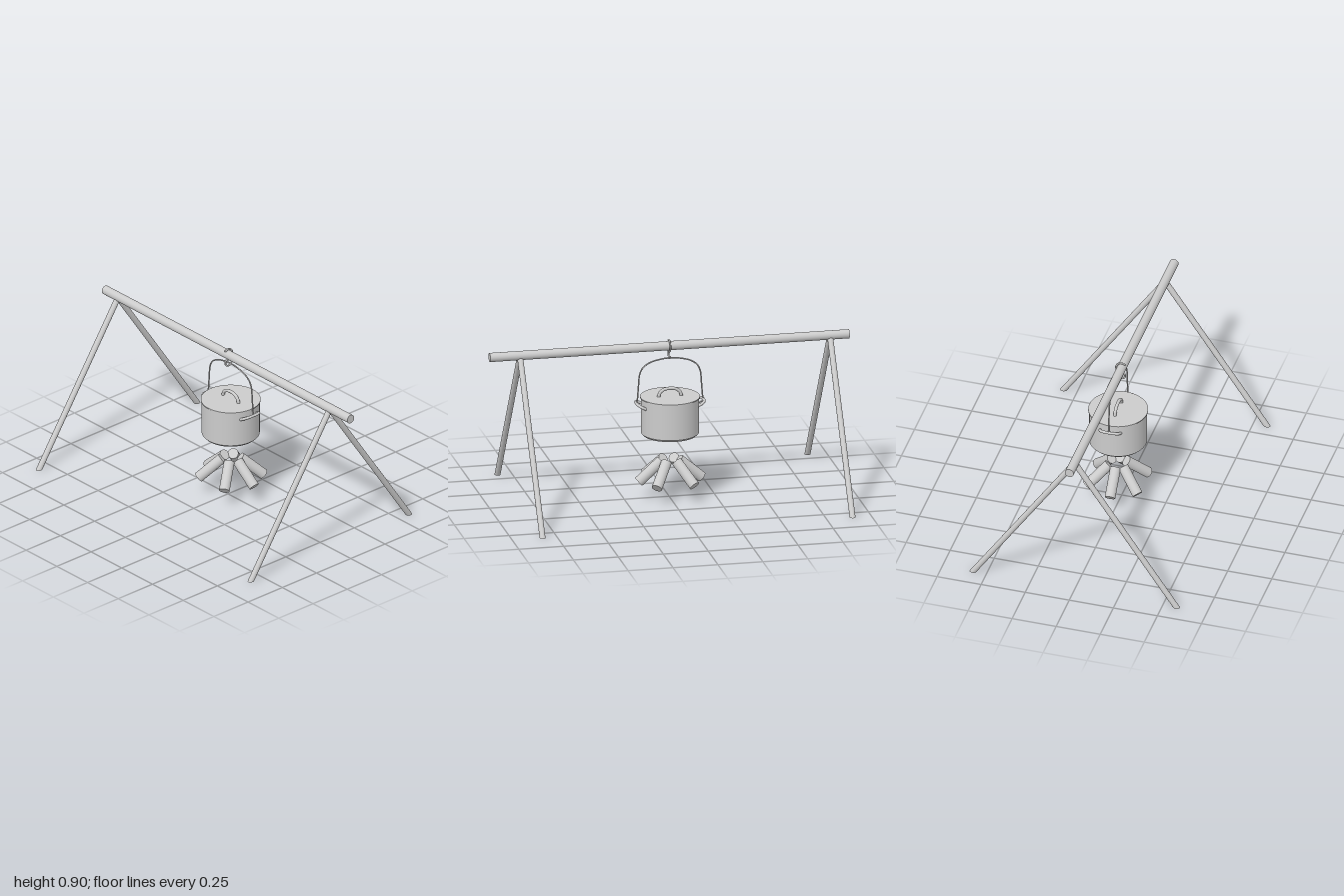
import * as THREE from 'three';

const material = new THREE.MeshStandardMaterial({ color: 0xcccccc, side: THREE.DoubleSide });
const POT_X = 0.02;
const v = (x, y, z) => new THREE.Vector3(x, y, z);

function add(parent, name, geometry) {
  const mesh = new THREE.Mesh(geometry, material);
  mesh.name = name;
  parent.add(mesh);
  return mesh;
}

// Straight round bar between two points
function bar(parent, name, a, b, r) {
  const mesh = add(parent, name, new THREE.CylinderGeometry(r, r, a.distanceTo(b), 32));
  mesh.position.copy(a).add(b).multiplyScalar(0.5);
  mesh.quaternion.setFromUnitVectors(v(0, 1, 0), b.clone().sub(a).normalize());
  return mesh;
}

// Bent round rod through points, with closed ends
function rod(parent, name, points, r, segments = 64) {
  const curve = new THREE.CatmullRomCurve3(points, false, 'centripetal');
  add(parent, name, new THREE.TubeGeometry(curve, segments, r, 12));
  for (const t of [0, 1]) {
    const cap = add(parent, name + 'End', new THREE.SphereGeometry(r, 12, 8));
    cap.position.copy(curve.getPoint(t));
  }
}

// Slanted leg, sheared so that its foot is cut level with the ground
function leg(parent, side, z) {
  const height = 0.855, reach = 0.577, r = 0.016;
  const stretch = Math.hypot(height, reach) / height;
  const geometry = new THREE.CylinderGeometry(r, r, height, 24);
  geometry.applyMatrix4(new THREE.Matrix4().set(
    stretch, -side * reach / height, 0, side * reach / 2,
    0, 1, 0, height / 2,
    0, 0, 1, z,
    0, 0, 0, 1));
  add(parent, side > 0 ? 'leftLeg' : 'rightLeg', geometry);
}

export function createModel() {
  const model = new THREE.Group();
  model.name = 'campfireCookingStand';

  // Frame: ridge pole on two pairs of legs
  const frame = new THREE.Group();
  frame.name = 'frame';
  model.add(frame);
  bar(frame, 'ridgePole', v(0, 0.86, -1), v(0, 0.86, 1), 0.025);
  for (const z of [0.83, -0.895]) for (const side of [-1, 1]) leg(frame, side, z);

  // S-shaped hook over the pole
  const hook = [];
  for (let i = 0; i <= 12; i++) {
    const a = THREE.MathUtils.degToRad(125 - i * 17);
    hook.push(v(0.032 * Math.cos(a), 0.86 + 0.032 * Math.sin(a), 0));
  }
  for (let i = 1; i <= 10; i++) {
    const a = THREE.MathUtils.degToRad(110 + i * 23);
    hook.push(v(0.004 + 0.023 * Math.cos(a), 0.812 + 0.022 * Math.sin(a), 0));
  }
  rod(model, 'hook', hook, 0.005, 96);

  // Pot with lid
  const pot = new THREE.Group();
  pot.name = 'pot';
  pot.position.x = POT_X;
  model.add(pot);
  const lathe = (name, rings) => {
    // each straight run is a separate band, which keeps the edges sharp
    for (let i = 0; i + 1 < rings.length; i++) {
      const band = [rings[i], rings[i + 1]].map(([r, y]) => new THREE.Vector2(r, y));
      add(pot, name, new THREE.LatheGeometry(band, 64));
    }
  };
  lathe('potBody', [[0, 0.362], [0.146, 0.362], [0.158, 0.374], [0.158, 0.573]]);
  lathe('lid', [[0.158, 0.573], [0.163, 0.573], [0.163, 0.579], [0, 0.58]]);

  // Arched lid handle
  rod(pot, 'lidHandle', [
    v(0, 0.575, 0.064), v(0, 0.6, 0.056), v(0, 0.618, 0.033), v(0, 0.623, 0),
    v(0, 0.618, -0.033), v(0, 0.6, -0.056), v(0, 0.575, -0.064)], 0.009);

  // Side handles, front and back
  for (const s of [1, -1]) {
    rod(pot, s > 0 ? 'frontHandle' : 'backHandle', [
      v(-0.057, 0.53, s * 0.145), v(-0.053, 0.541, s * 0.168), v(-0.035, 0.548, s * 0.183),
      v(0, 0.549, s * 0.186),
      v(0.035, 0.548, s * 0.183), v(0.053, 0.541, s * 0.168), v(0.057, 0.53, s * 0.145)], 0.008);
  }

  // Wire bail, curled under each side handle
  const half = [[0.53, 0.16], [0.54, 0.178], [0.555, 0.184], [0.575, 0.181], [0.65, 0.175],
    [0.715, 0.168], [0.75, 0.15], [0.775, 0.115], [0.791, 0.06]];
  rod(pot, 'bail', [
    ...half.map(([y, z]) => v(0, y, z)), v(0, 0.797, 0),
    ...half.slice().reverse().map(([y, z]) => v(0, y, -z))], 0.004, 128);

  // Firewood: six logs leaning inwards
  const fire = new THREE.Group();
  fire.name = 'firewood';
  fire.position.x = POT_X + 0.003;
  model.add(fire);
  for (const degrees of [36, 87, 144, 216, 267, 324]) {
    const a = THREE.MathUtils.degToRad(degrees);
    const at = (d, y) => v(d * Math.cos(a), y, d * Math.sin(a));
    bar(fire, 'log', at(0.178, 0.104), at(0.05, 0.215), 0.029);
  }
  return model;
}
